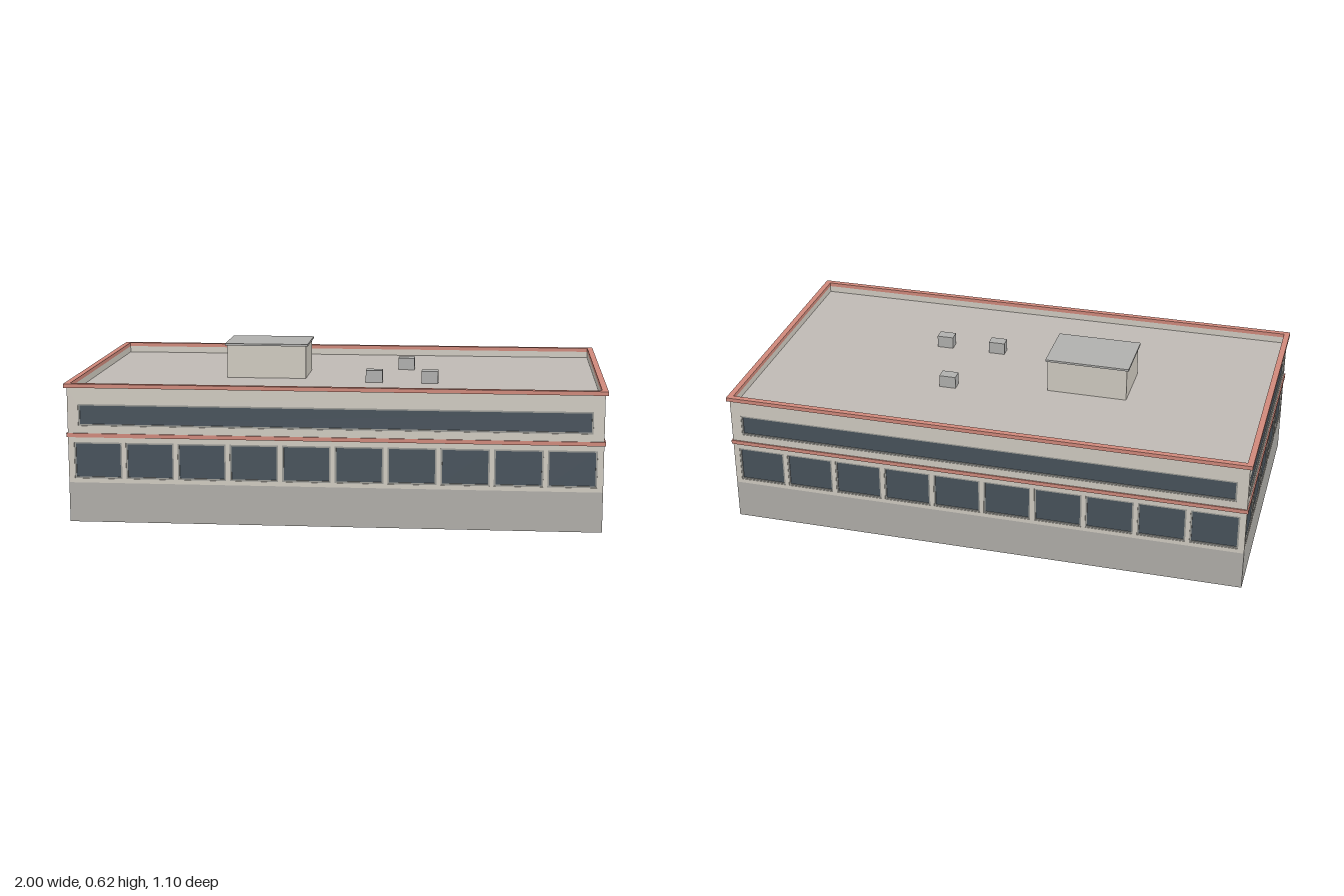
import * as THREE from 'three';

const W = 1.98, D = 1.08, T = 0.012;      // body width, depth, wall thickness
const PLINTH = 0.15, WALL_TOP = 0.51, ROOF = 0.485;

const mat = (color) => new THREE.MeshStandardMaterial({ color });
const wallMat = mat(0xd0cbc1), plinthMat = mat(0xb0aea9), trimMat = mat(0xd0897b);
const glassMat = mat(0x47525b), frameMat = mat(0x9a9a95), roofMat = mat(0xbfbab4), metalMat = mat(0xb0b0ae);

function add(parent, name, geometry, material, x = 0, y = 0, z = 0) {
  const m = new THREE.Mesh(geometry, material);
  m.name = name;
  m.position.set(x, y, z);
  parent.add(m);
  return m;
}

// Box given by its bottom and top heights
const block = (parent, name, material, w, y0, y1, d, x = 0, z = 0) =>
  add(parent, name, new THREE.BoxGeometry(w, y1 - y0, d), material, x, (y0 + y1) / 2, z);

function rect(Type, x0, y0, x1, y1) {
  const s = new Type();
  s.moveTo(x0, y0);
  s.lineTo(x1, y0);
  s.lineTo(x1, y1);
  s.lineTo(x0, y1);
  s.closePath();
  return s;
}

const extrude = (shape, depth) => new THREE.ExtrudeGeometry(shape, { depth, bevelEnabled: false });

// Horizontal rectangular ring
function ring(parent, name, w, d, width, y0, y1) {
  const s = rect(THREE.Shape, -w / 2, -d / 2, w / 2, d / 2);
  s.holes.push(rect(THREE.Path, -w / 2 + width, -d / 2 + width, w / 2 - width, d / 2 - width));
  add(parent, name, extrude(s, y1 - y0), trimMat, 0, y0, 0).rotation.x = -Math.PI / 2;
  parent.children.at(-1).position.y = y1 - (y1 - y0);
}

// One facade in its own plane, outer face at z = 0
function facade(name, width, count, pitch, winWidth, stripHalf) {
  const g = new THREE.Group();
  g.name = name;
  const openings = [[-stripHalf, 0.366, stripHalf, 0.448]];
  for (let i = 0; i < count; i++) {
    const c = (i - (count - 1) / 2) * pitch;
    openings.push([c - winWidth / 2, 0.166, c + winWidth / 2, 0.304]);
  }
  const wall = rect(THREE.Shape, -width / 2, PLINTH, width / 2, WALL_TOP);
  const b = 0.006;
  openings.forEach(([x0, y0, x1, y1]) => {
    wall.holes.push(rect(THREE.Path, x0, y0, x1, y1));
    const f = rect(THREE.Shape, x0, y0, x1, y1);
    f.holes.push(rect(THREE.Path, x0 + b, y0 + b, x1 - b, y1 - b));
    add(g, 'windowFrame', extrude(f, 0.008), frameMat, 0, 0, -0.01);
    add(g, 'windowGlass', new THREE.BoxGeometry(x1 - x0 - 2 * b, y1 - y0 - 2 * b, 0.004), glassMat,
      (x0 + x1) / 2, (y0 + y1) / 2, -0.008);
  });
  add(g, 'wall', extrude(wall, T), wallMat, 0, 0, -T);
  block(g, 'plinth', plinthMat, width, 0, PLINTH, T, 0, -T / 2);
  return g;
}

export function createModel() {
  const model = new THREE.Group();
  model.name = 'building';

  // Four walls around a hollow interior, open at the bottom
  for (const s of [1, -1]) {
    const long = facade(s > 0 ? 'frontFacade' : 'backFacade', W, 10, 0.195, 0.18, 0.95);
    long.position.z = s * D / 2;
    long.rotation.y = s > 0 ? 0 : Math.PI;
    const short = facade(s > 0 ? 'leftFacade' : 'rightFacade', D - 2 * T, 5, 0.211, 0.187, 0.5);
    short.position.x = s * W / 2;
    short.rotation.y = s * Math.PI / 2;
    model.add(long, short);
  }

  // Roof deck and red trim bands
  block(model, 'roofDeck', roofMat, W - 2 * T, ROOF - 0.01, ROOF, D - 2 * T);
  ring(model, 'parapetCap', 2, 1.1, 0.022, WALL_TOP, 0.525);
  ring(model, 'middleBand', 1.99, 1.09, 0.008, 0.323, 0.338);

  // Rooftop plant room
  block(model, 'plantRoom', wallMat, 0.31, ROOF, 0.612, 0.222, -0.3);
  block(model, 'plantRoomLid', metalMat, 0.325, 0.612, 0.62, 0.234, -0.3);

  // Small rooftop vents
  for (const [x, z] of [[0.127, 0.163], [0.342, 0.163], [0.235, -0.163]])
    block(model, 'roofVent', metalMat, 0.064, ROOF, 0.532, 0.045, x, z);

  return model;
}
